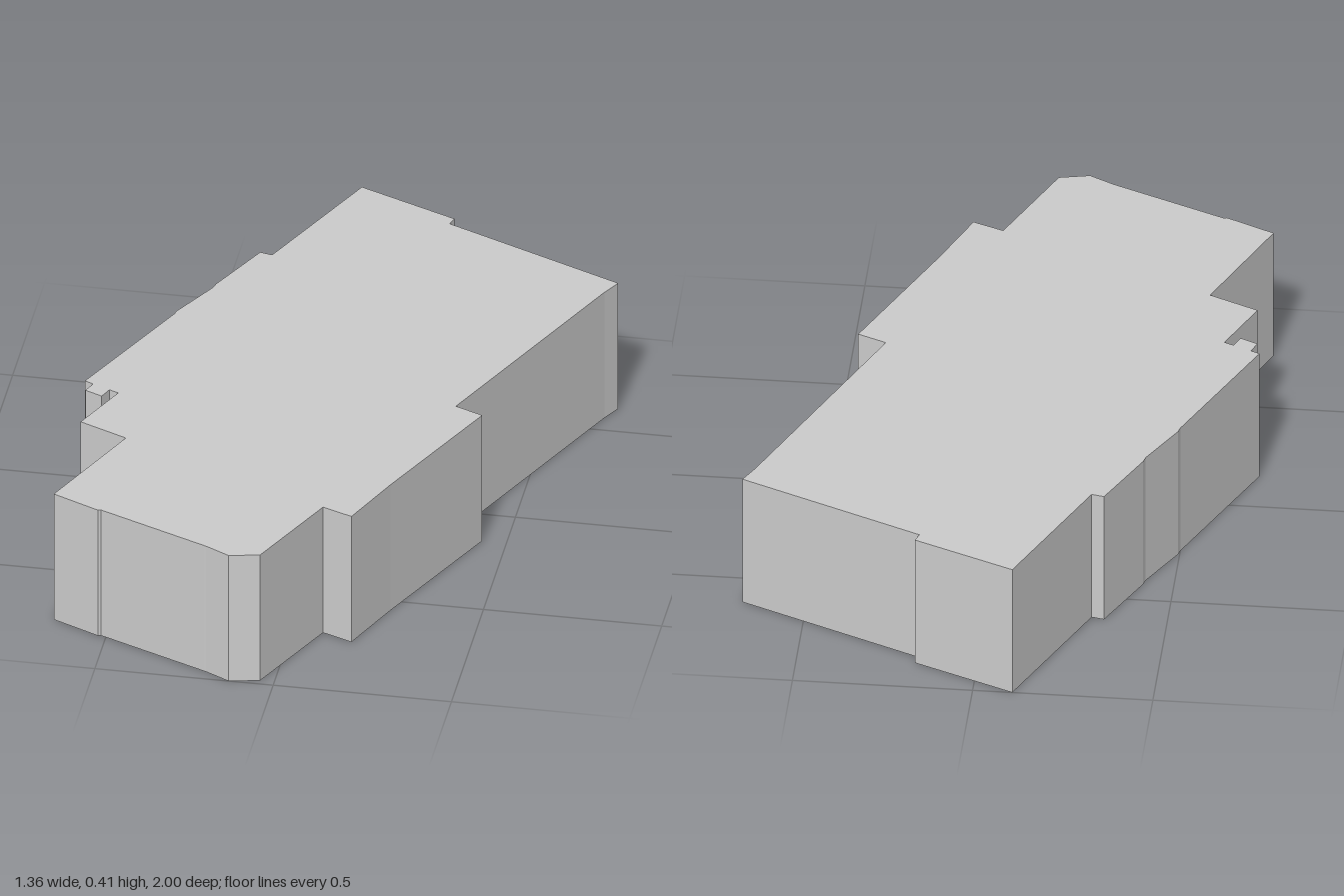
import * as THREE from 'three';

// Footprint corners as [x, z], walked once around the block
const FOOTPRINT = [
  // back wall with its small step
  [-0.11, -1.0], [0.172, -0.878], [0.163, -0.85], [0.677, -0.62],
  // left side: long wall, projecting bay, recessed corner
  [0.648, -0.565], [0.352, 0.105], [0.432, 0.14], [0.248, 0.55], [0.172, 0.735], [0.086, 0.7],
  // front wall with its chamfered corner
  [-0.04, 0.982], [-0.125, 1.0], [-0.195, 0.962], [-0.2, 0.96], [-0.515, 0.823], [-0.522, 0.826], [-0.658, 0.762],
  // right side: step, small notch with stub, long wall
  [-0.515, 0.433], [-0.653, 0.37], [-0.578, 0.2], [-0.605, 0.188], [-0.62, 0.225],
  [-0.67, 0.202], [-0.655, 0.165], [-0.68, 0.153], [-0.5, -0.243], [-0.496, -0.26],
  [-0.42, -0.4], [-0.415, -0.42], [-0.325, -0.608], [-0.29, -0.6],
];
const HEIGHT = 0.405;

export function createModel() {
  const group = new THREE.Group();
  group.name = 'building';

  // Straight walls raised from the footprint, with flat roof and floor
  const outline = new THREE.Shape(FOOTPRINT.map(([x, z]) => new THREE.Vector2(x, -z)));
  const geometry = new THREE.ExtrudeGeometry(outline, { depth: HEIGHT, bevelEnabled: false });
  geometry.rotateX(-Math.PI / 2);

  const block = new THREE.Mesh(
    geometry,
    new THREE.MeshStandardMaterial({ color: 0xcccccc, flatShading: true }),
  );
  block.name = 'buildingBlock';
  group.add(block);
  return group;
}
